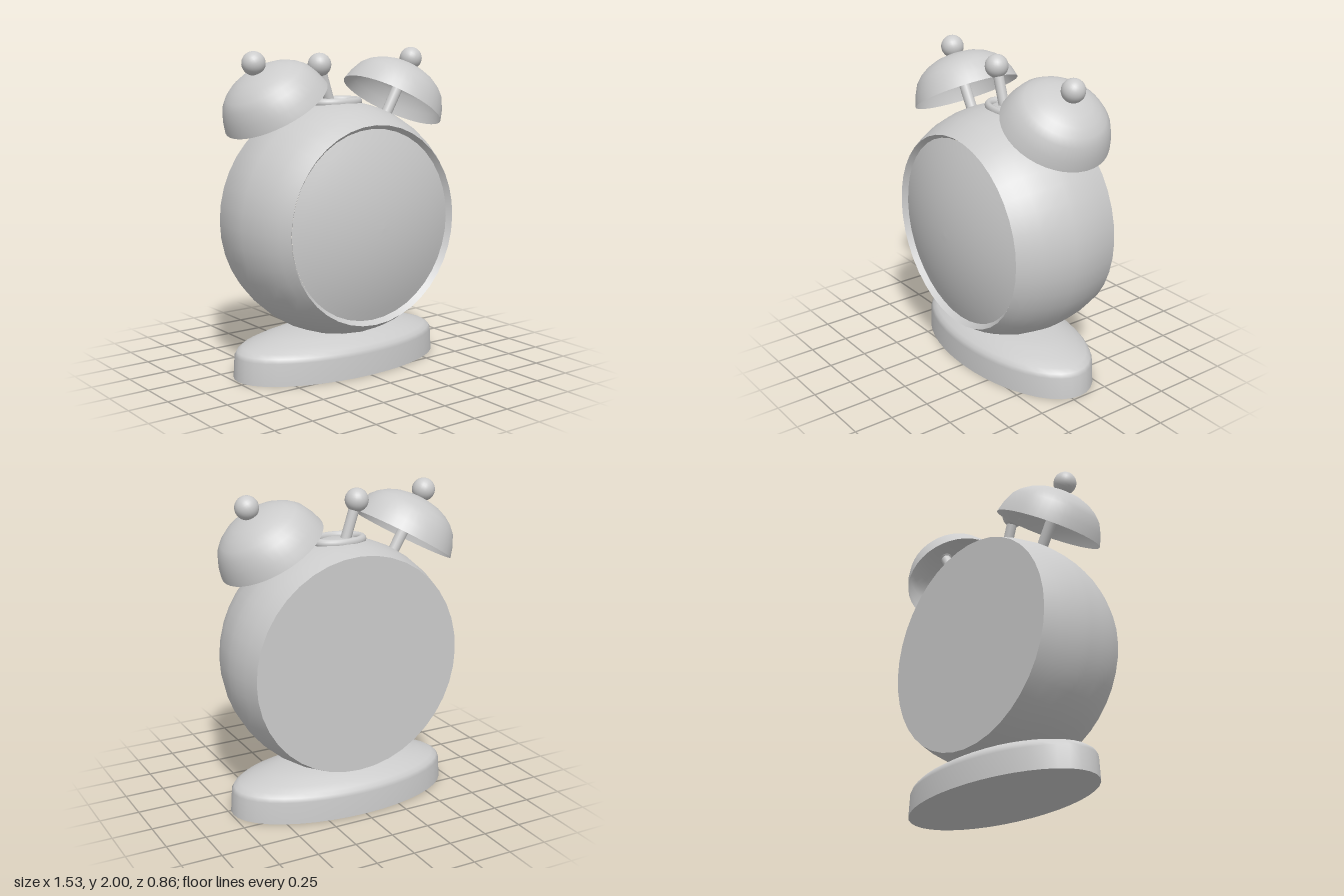
import * as THREE from 'three';

const material = new THREE.MeshStandardMaterial({ color: 0xcccccc });
const shellMaterial = new THREE.MeshStandardMaterial({ color: 0xcccccc, side: THREE.DoubleSide });
const AXIS_Z = -0.06; // bells, hammer and base share this depth
const BODY_Y = 0.945;

function part(name, geometry, parent, mat = material) {
  const mesh = new THREE.Mesh(geometry, mat);
  mesh.name = name;
  parent.add(mesh);
  return mesh;
}

// Turned surface from [radius, height] pairs, listed bottom to top
function turned(points, segments = 40) {
  return new THREE.LatheGeometry(points.map(([r, y]) => new THREE.Vector2(r, y)), segments);
}

// Straight round rod between two points
function rod(name, from, to, radius, parent) {
  const dir = to.clone().sub(from);
  const mesh = part(name, new THREE.CylinderGeometry(radius, radius, dir.length(), 16), parent);
  mesh.position.copy(from).addScaledVector(dir, 0.5);
  mesh.quaternion.setFromUnitVectors(new THREE.Vector3(0, 1, 0), dir.normalize());
  return mesh;
}

function createBody() {
  const body = new THREE.Group();
  body.name = 'body';
  // Barrel-shaped case, separate pieces keep the rim edges sharp
  part('case', turned([[0.685, -0.34], [0.715, -0.24], [0.733, -0.14], [0.738, -0.06], [0.735, 0],
    [0.72, 0.11], [0.69, 0.21], [0.655, 0.285], [0.615, 0.35]]), body);
  part('backPlate', turned([[0, -0.34], [0.685, -0.34]]), body);
  part('frontRim', turned([[0.615, 0.35], [0.59, 0.316]]), body);
  // Shallow domed glass
  const dome = [];
  for (let i = 0; i <= 10; i++) {
    const r = 0.59 * (1 - i / 10);
    dome.push([r, 0.428 - 0.32 * r * r]);
  }
  part('glass', turned(dome), body);
  body.rotation.x = Math.PI / 2;
  body.position.y = BODY_Y;
  return body;
}

function createBase() {
  const base = new THREE.Group();
  base.name = 'base';
  part('baseBottom', turned([[0, 0], [0.74, 0]]), base);
  part('baseSide', turned([[0.74, 0], [0.731, 0.14], [0.715, 0.165], [0.68, 0.187], [0.6, 0.212],
    [0.5, 0.237], [0.4, 0.255], [0.2, 0.274], [0, 0.28]]), base);
  base.scale.z = 0.5;
  base.position.z = AXIS_Z;
  return base;
}

// Thin tilted bell with its stem and knob; side is +1 (left) or -1 (right)
function createBell(side) {
  const bell = new THREE.Group();
  bell.name = side > 0 ? 'leftBell' : 'rightBell';
  part('bellShell', turned([[0.34, 0], [0.322, 0.065], [0.288, 0.138], [0.25, 0.178], [0.2, 0.212],
    [0.14, 0.237], [0.07, 0.251], [0, 0.255]]), bell, shellMaterial);
  rod('bellStem', new THREE.Vector3(0, -0.2, 0), new THREE.Vector3(0, 0.25, 0), 0.035, bell);
  part('bellKnob', new THREE.SphereGeometry(0.072, 24, 16), bell).position.y = 0.308;
  bell.position.set(side * 0.445, 1.66, AXIS_Z);
  bell.rotation.z = -side * Math.PI / 6;
  return bell;
}

export function createModel() {
  const clock = new THREE.Group();
  clock.name = 'alarmClock';
  clock.add(createBase(), createBody(), createBell(1), createBell(-1));

  // Oval collar on top of the case
  const collar = part('hammerCollar', new THREE.TorusGeometry(0.153, 0.028, 12, 40).rotateX(Math.PI / 2), clock);
  collar.scale.z = 0.7;
  collar.position.set(0, 1.673, AXIS_Z);

  // Hammer leaning towards the right bell
  const tip = new THREE.Vector3(-0.125, 1.905, AXIS_Z);
  rod('hammerRod', new THREE.Vector3(0, 1.52, AXIS_Z), tip, 0.033, clock);
  part('hammerHead', new THREE.SphereGeometry(0.073, 24, 16), clock).position.copy(tip);
  return clock;
}
